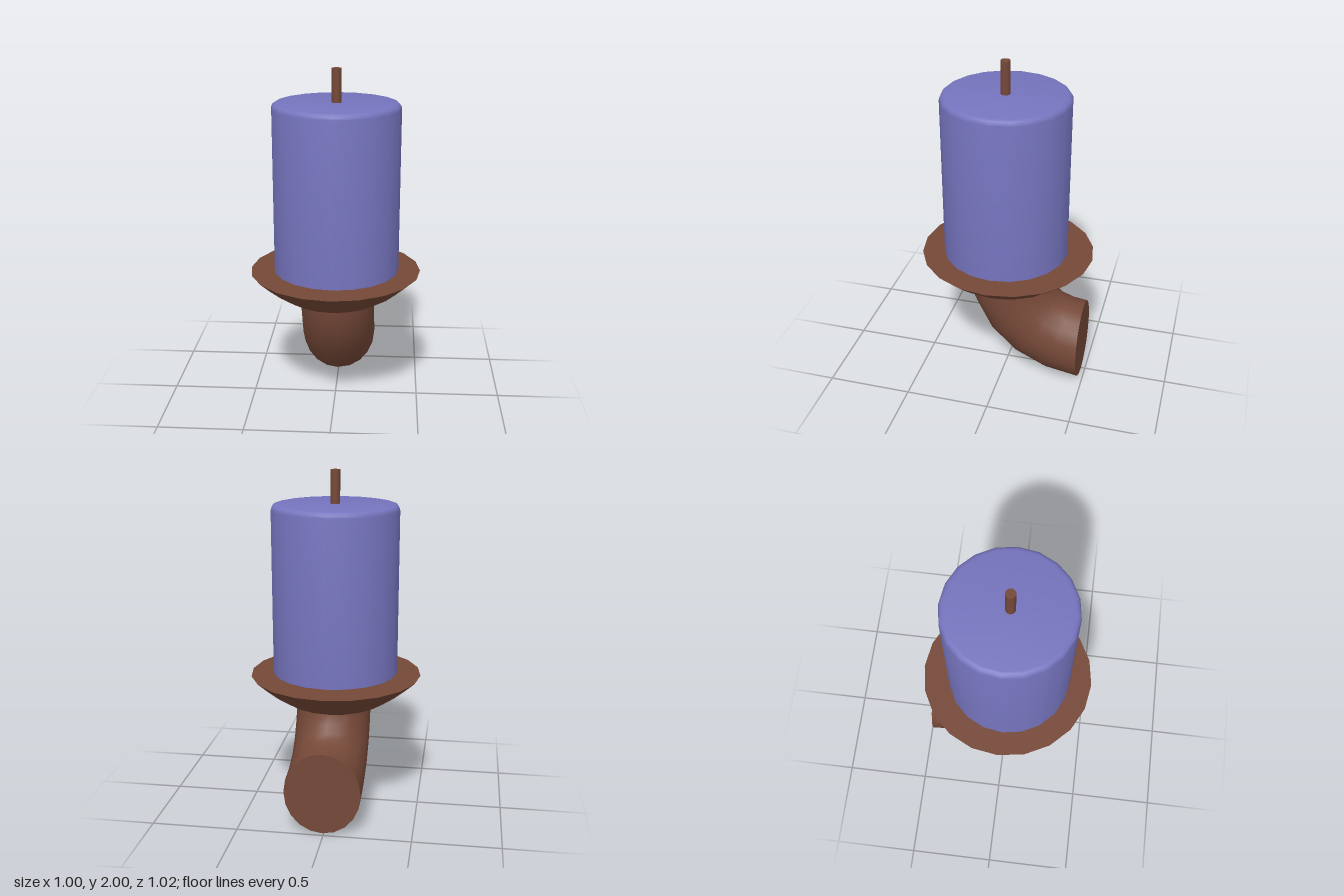
import * as THREE from 'three';
import { toCreasedNormals } from 'three/addons/utils/BufferGeometryUtils.js';

const SIDES = 20;
const CREASE = 0.7;

// Surface of revolution from [radius, y] points, bottom to top
function turned(profile, sides = SIDES) {
  const points = profile.map(([r, y]) => new THREE.Vector2(r, y));
  return toCreasedNormals(new THREE.LatheGeometry(points, sides), CREASE);
}

// Closed elbow lofted through rings given as [outer z, outer y, inner z, inner y]
function elbow(rings, halfWidth) {
  const positions = [], index = [];
  for (const [oz, oy, iz, iy] of rings) {
    for (let j = 0; j < SIDES; j++) {
      const t = (j / SIDES) * Math.PI * 2, c = Math.cos(t);
      positions.push(halfWidth * Math.sin(t), (oy + iy + (oy - iy) * c) / 2, (oz + iz + (oz - iz) * c) / 2);
    }
  }
  const last = (rings.length - 1) * SIDES;
  for (let j = 0; j < SIDES; j++) {
    const k = (j + 1) % SIDES;
    for (let row = 0; row < last; row += SIDES) {
      const a = row + j, b = row + k, c = a + SIDES, d = b + SIDES;
      index.push(a, c, b, b, c, d);
    }
    // End caps as fans
    if (j > 0 && j < SIDES - 1) index.push(0, j, k, last, last + k, last + j);
  }
  const geometry = new THREE.BufferGeometry();
  geometry.setAttribute('position', new THREE.Float32BufferAttribute(positions, 3));
  geometry.setIndex(index);
  return toCreasedNormals(geometry, CREASE);
}

export function createModel() {
  const group = new THREE.Group();
  group.name = 'wallCandleHolder';
  const brown = new THREE.MeshStandardMaterial({ color: 0x754838 });
  brown.name = 'brown';
  const violet = new THREE.MeshStandardMaterial({ color: 0x7674be });
  violet.name = 'violet';

  function add(name, geometry, material, x = 0, y = 0, z = 0) {
    const mesh = new THREE.Mesh(geometry, material);
    mesh.name = name;
    mesh.position.set(x, y, z);
    group.add(mesh);
    return mesh;
  }

  // Arm curving down and back to the wall
  add('wallArm', elbow([
    [0.24, 0.823, -0.23, 0.823],
    [0.225, 0.63, -0.255, 0.64],
    [0.205, 0.50, -0.28, 0.585],
    [0.105, 0.30, -0.31, 0.545],
    [-0.055, 0.14, -0.345, 0.515],
    [-0.26, 0.04, -0.40, 0.497],
    [-0.475, 0.003, -0.475, 0.487],
  ], 0.22), brown, 0.01);

  // Drip dish with a flat top
  const dish = add('dripDish', turned([
    [0, 0.625], [0.215, 0.625], [0.29, 0.655], [0.375, 0.708], [0.44, 0.762], [0.5, 0.815], [0, 0.815],
  ]), brown);
  dish.scale.z = 1.018;

  // Candle with a rounded top edge
  const radius = 0.367, top = 1.81, bevel = 0.032;
  const profile = [[0, 0.826], [radius, 0.826]];
  for (let i = 0; i <= 4; i++) {
    const a = (i / 4) * Math.PI / 2;
    profile.push([radius - bevel + bevel * Math.cos(a), top - bevel + bevel * Math.sin(a)]);
  }
  profile.push([0, top]);
  add('candle', turned(profile), violet, 0.005, 0, 0.01);

  // Wick
  add('wick', new THREE.CylinderGeometry(0.028, 0.028, 0.2, 16), brown, 0.006, 1.9, 0.014);

  return group;
}
